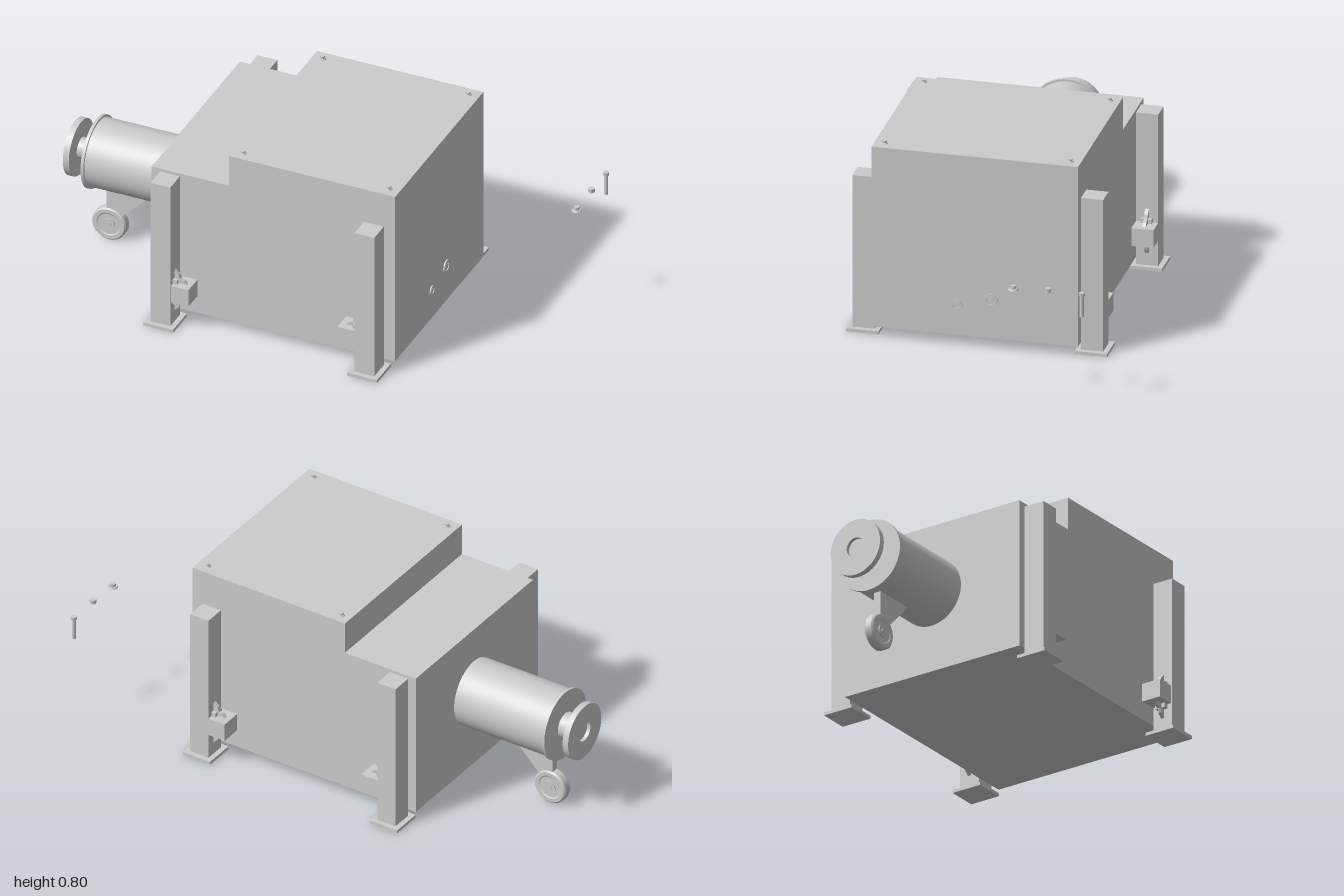
import * as THREE from 'three';

const material = new THREE.MeshStandardMaterial({ color: 0xcccccc });
const MID = 0.018; // depth centre of the machine

function add(parent, name, geometry, x = 0, y = 0, z = 0) {
  const mesh = new THREE.Mesh(geometry, material);
  mesh.name = name;
  mesh.position.set(x, y, z);
  parent.add(mesh);
  return mesh;
}

// Box given by its limits on each axis
function block(parent, name, x0, x1, y0, y1, z0, z1) {
  return add(parent, name, new THREE.BoxGeometry(x1 - x0, y1 - y0, z1 - z0),
    (x0 + x1) / 2, (y0 + y1) / 2, (z0 + z1) / 2);
}

// Side profile in x and y, extruded from z0 to z1
function plate(parent, name, points, z0, z1) {
  const shape = new THREE.Shape(points.map(([x, y]) => new THREE.Vector2(x, y)));
  return add(parent, name, new THREE.ExtrudeGeometry(shape, { depth: z1 - z0, bevelEnabled: false }), 0, 0, z0);
}

// Revolved solid with sharp edges: pairs of [radius, distance along the axis]
function turned(parent, name, profile, x, y, z, axis = 'y', segments = 48) {
  const points = [];
  profile.forEach(([r, d], i) => {
    points.push(new THREE.Vector2(r, d));
    if (i > 0 && i < profile.length - 1) points.push(new THREE.Vector2(r, d));
  });
  const mesh = add(parent, name, new THREE.LatheGeometry(points, segments), x, y, z);
  if (axis === 'x') mesh.rotation.z = -Math.PI / 2;
  if (axis === 'z') mesh.rotation.x = Math.PI / 2;
  return mesh;
}

function group(parent, name) {
  const g = new THREE.Group();
  g.name = name;
  parent.add(g);
  return g;
}

// Hexagonal nut or bolt head with an optional round flange
function hexHead(parent, name, x, y, z, r, h, flange = 0) {
  const g = group(parent, name);
  g.position.set(x, y, z);
  add(g, 'hexagon', new THREE.CylinderGeometry(r, r, h, 6).toNonIndexed(), 0, h / 2, 0);
  if (flange) add(g, 'flange', new THREE.CylinderGeometry(flange * 0.85, flange, h * 0.35, 24), 0, h * 0.175, 0);
  return g;
}

export function createModel() {
  const model = new THREE.Group();
  model.name = 'machine';

  // Stepped housing
  plate(model, 'housing', [
    [-0.495, 0.043], [0.524, 0.043], [0.524, 0.787], [-0.172, 0.787], [-0.172, 0.653], [-0.495, 0.653],
  ], -0.388, 0.423);

  // Lid screws
  for (const x of [-0.13, 0.48])
    for (const z of [-0.347, 0.383]) hexHead(model, 'lidScrew', x, 0.787, z, 0.009, 0.012, 0.013);

  // Four legs with feet and lifting brackets, mirrored towards the middle
  for (const [side, outer] of [[1, -0.46], [-1, 0.476]]) {
    for (const front of [1, -1]) {
      const leg = group(model, (front > 0 ? 'front' : 'back') + (side > 0 ? 'Right' : 'Left') + 'Leg');
      const inner = outer + side * 0.083;
      const z0 = front > 0 ? 0.423 : -0.475;
      const z1 = z0 + 0.087;
      const mid = (z0 + z1) / 2;
      const cx = (outer + inner) / 2;
      const span = (from, to) => [inner + side * from, inner + side * to].sort((a, b) => a - b);
      block(leg, 'post', cx - 0.0415, cx + 0.0415, 0.013, 0.64, z0, z1);
      block(leg, 'foot', cx - 0.0625, cx + 0.0625, 0, 0.013, mid - 0.064, mid + 0.064);
      block(leg, 'bracketBlock', ...span(0, 0.074), 0.118, 0.192, z0, z1 - (front > 0 ? 0.005 : 0));
      // Ribs above and below the block, each with a small step
      for (const up of [1, -1]) {
        const y = (d) => 0.155 + up * d;
        const rib = [[0, 0.037], [0.052, 0.037], [0.04, 0.05], [0.024, 0.056], [0.018, 0.074], [0, 0.091]];
        const points = rib.map(([d, h]) => [inner + side * d, y(h)]);
        plate(leg, 'rib', points, mid - 0.007, mid + 0.007);
        const [a, b] = span(0, 0.018);
        block(leg, 'ribPad', a, b, y(0.046) - 0.009, y(0.046) + 0.009, mid - 0.022, mid + 0.022);
      }
    }
  }

  // Drum with end flange, stepped hub and coupling disc
  const drum = group(model, 'drum');
  turned(drum, 'barrel', [
    [0, -0.912], [0.146, -0.912], [0.146, -0.9], [0.137, -0.9], [0.137, -0.49], [0, -0.49],
  ], 0, 0.372, MID - 0.004, 'x', 64);
  turned(drum, 'hub', [
    [0, -0.975], [0.042, -0.975], [0.042, -0.948], [0.052, -0.945], [0.052, -0.91], [0, -0.91],
  ], 0, 0.372, MID - 0.004, 'x');
  turned(drum, 'couplingDisc', [
    [0, -0.985], [0.04, -0.985], [0.04, -1], [0.115, -1], [0.115, -0.975], [0, -0.975],
  ], 0, 0.372, MID - 0.004, 'x', 64);

  // Caster below the drum
  const caster = group(model, 'caster');
  plate(caster, 'strut', [
    [-0.861, 0.075], [-0.836, 0.075], [-0.815, 0.1], [-0.672, 0.242], [-0.672, 0.255], [-0.861, 0.255],
  ], MID - 0.015, MID + 0.015);
  turned(caster, 'wheel', [
    [0, -0.017], [0.045, -0.017], [0.05, -0.02], [0.065, -0.02], [0.071, -0.014],
    [0.071, 0.014], [0.065, 0.02], [0.05, 0.02], [0.045, 0.017], [0, 0.017],
  ], -0.85, 0.071, MID, 'z');
  turned(caster, 'wheelHub', [
    [0, -0.021], [0.026, -0.021], [0.026, 0.021], [0, 0.021],
  ], -0.85, 0.071, MID, 'z', 32);
  turned(caster, 'axle', [
    [0, -0.024], [0.011, -0.024], [0.011, 0.024], [0, 0.024],
  ], -0.85, 0.071, MID, 'z', 24);

  // Ports on the left wall
  for (const [y, z, r] of [[0.168, 0.087, 0.021], [0.2, -0.045, 0.027]]) {
    turned(model, 'port', [
      [0, 0], [r, 0], [r, 0.006], [r * 0.62, 0.006], [r * 0.62, 0.002], [0, 0.002],
    ].slice(1), 0.523, y, z, 'x', 32);
    turned(model, 'portPlug', [[r * 0.5, 0], [r * 0.5, 0.005], [0, 0.005]], 0.523, y, z, 'x', 6);
  }

  // Loose fasteners beside the machine
  const loose = group(model, 'looseFasteners');
  const bolt = hexHead(loose, 'bolt', 0.978, 0.456, -0.518, 0.012, 0.013);
  add(bolt, 'shank', new THREE.CylinderGeometry(0.008, 0.008, 0.087, 20), 0, -0.0425, 0);
  hexHead(loose, 'nut', 0.978, 0.458, -0.385, 0.013, 0.016);
  hexHead(loose, 'flangeNut', 0.978, 0.453, -0.249, 0.012, 0.018, 0.02);

  return model;
}
